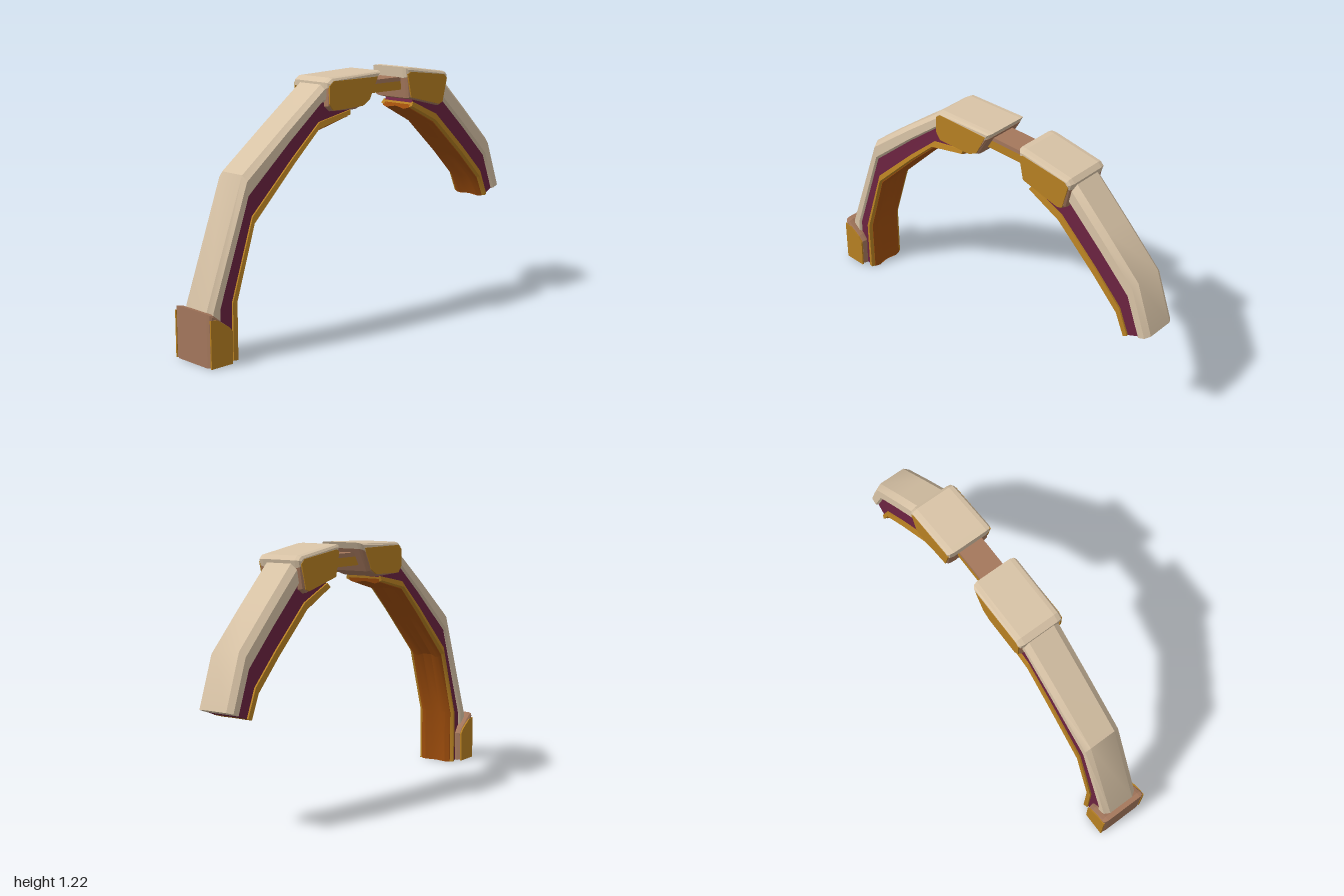
import * as THREE from 'three';
import { toCreasedNormals } from 'three/addons/utils/BufferGeometryUtils.js';

const mat = (name, color) => Object.assign(new THREE.MeshStandardMaterial({ color }), { name });

// Sweeps a mirrored half section [t, z] along stations [outerX, outerY, innerX, innerY].
function loft(half, stations) {
  const mirror = half.map(([t, z]) => [t, -z]);
  const loop = [half[0], ...mirror, ...half.slice(1).reverse()];
  const rings = stations.map(([ox, oy, ix, iy]) =>
    loop.map(([t, z]) => [ox + (ix - ox) * t, oy + (iy - oy) * t, z]));
  const n = loop.length, pos = [];
  const tri = (...pts) => pts.forEach(p => pos.push(...p));
  for (let i = 0; i < rings.length - 1; i++) {
    for (let j = 0; j < n; j++) {
      const k = (j + 1) % n, A = rings[i], B = rings[i + 1];
      tri(A[j], B[j], B[k]);
      tri(A[j], B[k], A[k]);
    }
  }
  // end faces
  const first = rings[0], last = rings[rings.length - 1];
  const mid = r => [0, 1, 2].map(a => r.reduce((s, p) => s + p[a], 0) / n);
  const m0 = mid(first), m1 = mid(last);
  for (let j = 0; j < n; j++) {
    const k = (j + 1) % n;
    tri(m0, first[j], first[k]);
    tri(m1, last[k], last[j]);
  }
  const g = new THREE.BufferGeometry();
  g.setAttribute('position', new THREE.Float32BufferAttribute(pos, 3));
  return toCreasedNormals(g, 0.5);
}

// Flat outline given thickness from z0 to z1, with optional chamfered rims.
function slab(outline, z0, z1, chamfer = 0) {
  const shape = new THREE.Shape(outline.map(([x, y]) => new THREE.Vector2(x, y)));
  const thick = chamfer * 2;
  const g = new THREE.ExtrudeGeometry(shape, {
    depth: z1 - z0 - 2 * thick, bevelEnabled: chamfer > 0, bevelSegments: 2,
    bevelSize: chamfer, bevelOffset: -chamfer, bevelThickness: thick,
  });
  return g.translate(0, 0, z0 + thick);
}

export function createModel() {
  const cream = mat('cream shell', 0xd8c3a6);
  const gold = mat('gold trim', 0xb78022);
  const plum = mat('plum inlay', 0x6b2340);
  const orange = mat('burnt orange lining', 0x9c4c0c);
  const brown = mat('rose brown', 0xa4775c);

  const model = new THREE.Group();
  model.name = 'brokenArch';
  const add = (parent, name, geometry, material) => {
    const mesh = new THREE.Mesh(geometry, material);
    mesh.name = name;
    parent.add(mesh);
  };
  const group = name => {
    const g = new THREE.Group();
    g.name = name;
    model.add(g);
    return g;
  };

  // Layers of an arm, from the outer shell to the inner lining
  const layers = [
    ['outerShell', [[0, 0.068], [0.12, 0.095], [0.36, 0.096], [0.42, 0.086]], cream],
    ['sideInlay', [[0.38, 0.084], [0.84, 0.09]], plum],
    ['innerTrim', [[0.81, 0.098], [0.94, 0.104], [0.98, 0.088]], gold],
    ['innerLining', [[0.9, 0.087], [1, 0.087], [1.05, 0.06], [0.99, 0.025]], orange],
  ];
  const arms = {
    longArm: [
      [-0.985, 0, -0.82, 0], [-0.975, 0.24, -0.82, 0.27], [-0.76, 0.82, -0.72, 0.59],
      [-0.5, 1.02, -0.48, 0.83], [-0.27, 1.19, -0.33, 0.97], [-0.08, 1.18, -0.13, 1.02],
    ],
    shortArm: [
      [0.4, 1.17, 0.29, 1.02], [0.54, 1.155, 0.47, 0.93], [0.72, 0.985, 0.68, 0.74],
      [0.91, 0.8, 0.82, 0.6], [1, 0.55, 0.865, 0.5],
    ],
  };
  for (const [name, stations] of Object.entries(arms)) {
    const arm = group(name);
    for (const [part, half, material] of layers) add(arm, part, loft(half, stations), material);
  }

  // Clamps at the two broken ends: brown core, cream lid, gold cheeks
  const clamps = {
    longArmClamp: {
      core: [[-0.28, 1.08], [-0.25, 1.055], [-0.1, 1.05], [-0.01, 1.08], [0.055, 1.19], [-0.27, 1.19]],
      lid: [[-0.285, 1.16], [0.04, 1.165], [0.07, 1.22], [-0.255, 1.21], [-0.285, 1.19]],
      cheek: [[-0.275, 1.09], [-0.25, 1.06], [-0.06, 1.065], [-0.015, 1.09], [0.04, 1.195], [-0.25, 1.195], [-0.275, 1.175]],
    },
    shortArmClamp: {
      core: [[0.265, 1.07], [0.49, 1.015], [0.52, 1.035], [0.545, 1.16], [0.25, 1.2]],
      lid: [[0.245, 1.17], [0.54, 1.13], [0.55, 1.165], [0.53, 1.185], [0.27, 1.223], [0.24, 1.222]],
      cheek: [[0.275, 1.075], [0.48, 1.025], [0.505, 1.035], [0.535, 1.15], [0.515, 1.17], [0.27, 1.2], [0.25, 1.19]],
    },
  };
  for (const [name, { core, lid, cheek }] of Object.entries(clamps)) {
    const clamp = group(name);
    add(clamp, 'clampCore', slab(core, -0.116, 0.116, 0.012), brown);
    add(clamp, 'clampLid', slab(lid, -0.118, 0.118, 0.014), cream);
    add(clamp, 'frontCheek', slab(cheek, 0.112, 0.12), gold);
    add(clamp, 'backCheek', slab(cheek, -0.12, -0.112), gold);
  }

  // Bridge bar joining the clamps
  const bridge = group('bridge');
  const bar = (h, y) => new THREE.BoxGeometry(0.33, h, 0.124).translate(0.135, y, 0.003);
  add(bridge, 'bridgeBar', bar(0.042, 1.131), gold);
  add(bridge, 'bridgeTop', bar(0.02, 1.162), brown);

  // Foot wrapped around the lower end of the long arm
  const foot = group('foot');
  const outline = [[-1, 0], [-0.88, 0], [-0.875, 0.15], [-0.9, 0.18], [-0.975, 0.24], [-1, 0.245]];
  add(foot, 'footCore', slab(outline, -0.122, 0.122, 0.012), brown);
  const plate = [[-0.998, 0], [-0.88, 0], [-0.877, 0.15], [-0.9, 0.175], [-0.96, 0.215], [-0.998, 0.22]];
  add(foot, 'frontFootPlate', slab(plate, 0.118, 0.126), gold);
  add(foot, 'backFootPlate', slab(plate, -0.126, -0.118), gold);

  return model;
}
